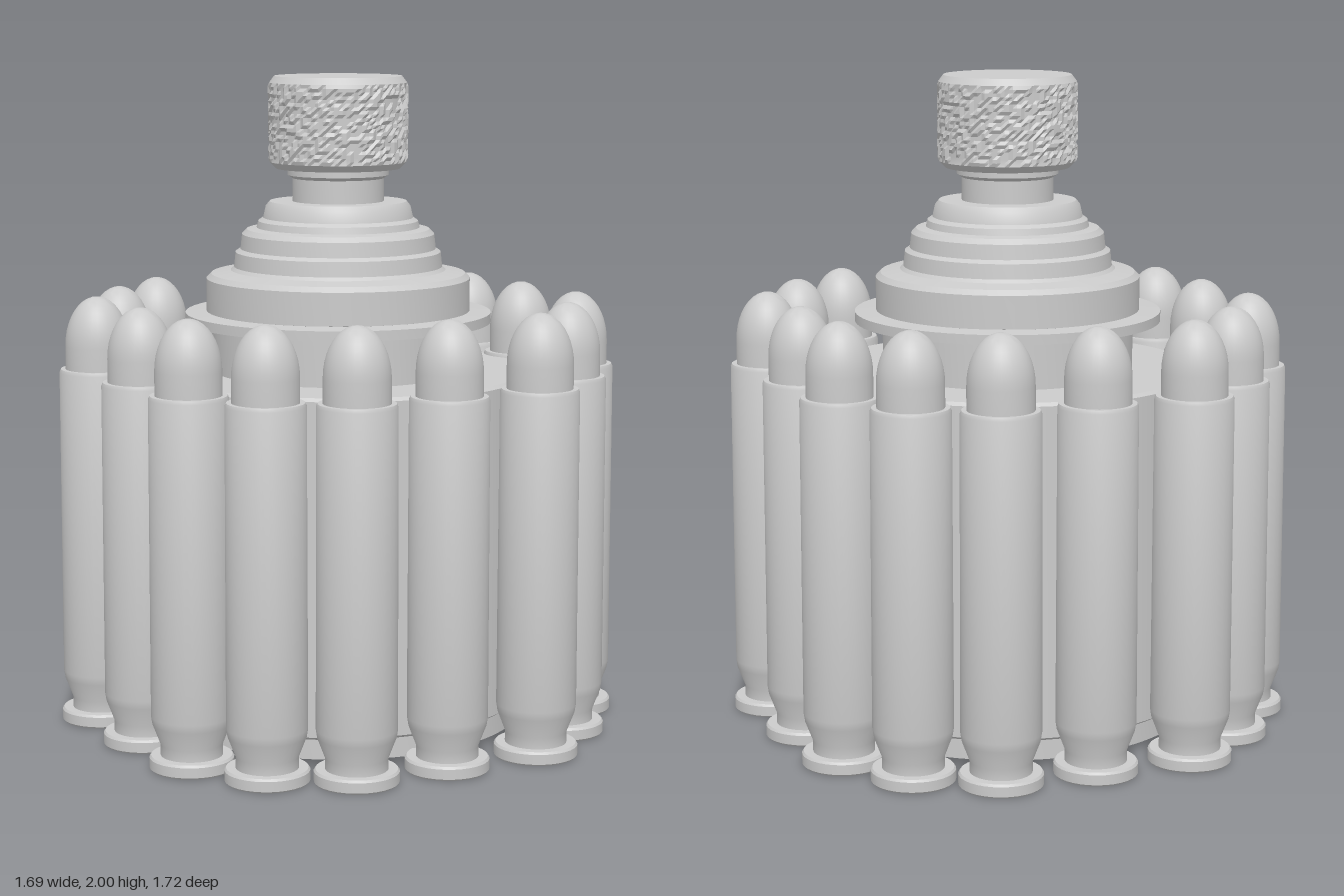
import * as THREE from 'three';
import { toCreasedNormals } from 'three/addons/utils/BufferGeometryUtils.js';

const material = new THREE.MeshStandardMaterial({ color: 0xcccccc });

// Turned part from [radius, height] pairs, listed bottom to top
function turned(profile, segments) {
  const points = profile.map(([r, y]) => new THREE.Vector2(r, y));
  return toCreasedNormals(new THREE.LatheGeometry(points, segments), 0.6);
}

function addMesh(parent, name, geometry) {
  const mesh = new THREE.Mesh(geometry, material);
  mesh.name = name;
  parent.add(mesh);
  return mesh;
}

// Repeatable pseudo-random value for the knurl
function noise(i, j) {
  const s = Math.sin(i * 127.1 + j * 311.7) * 43758.5453;
  return s - Math.floor(s);
}

// Knob sleeve with small irregular bumps
function knurledSleeve(radius, height) {
  const cols = 110, rows = 22;
  const geometry = new THREE.CylinderGeometry(radius, radius, height, cols, rows, true);
  const pos = geometry.attributes.position;
  for (let k = 0; k < pos.count; k++) {
    const col = (k % (cols + 1)) % cols;
    const row = Math.floor(k / (cols + 1));
    if (row === 0 || row === rows) continue;
    const s = noise(col, row) > 0.55 ? 1.02 : 0.99;
    pos.setX(k, pos.getX(k) * s);
    pos.setZ(k, pos.getZ(k) * s);
  }
  return toCreasedNormals(geometry, 0.3);
}

export function createModel() {
  const model = new THREE.Group();
  model.name = 'speedloader';

  // Drum, neck and lip
  addMesh(model, 'drum', turned([
    [0, 0.02], [0.57, 0.02], [0.57, 0.08], [0.585, 0.09], [0.585, 1.09], [0.575, 1.1], [0, 1.1],
  ], 96));
  addMesh(model, 'neck', turned([
    [0.385, 1.09], [0.385, 1.25], [0.47, 1.25], [0.47, 1.28], [0.4, 1.285],
  ], 72));

  // Stepped cap and stem
  addMesh(model, 'steppedCap', turned([
    [0.38, 1.28], [0.405, 1.285], [0.405, 1.385], [0.39, 1.4], [0.33, 1.41],
    [0.32, 1.42], [0.315, 1.465], [0.3, 1.475], [0.295, 1.52], [0.28, 1.535],
    [0.25, 1.54], [0.245, 1.56], [0.23, 1.57], [0.222, 1.605], [0.21, 1.62], [0.14, 1.62],
  ], 72));
  addMesh(model, 'stem', turned([
    [0.14, 1.61], [0.14, 1.69], [0.155, 1.7], [0.155, 1.74],
  ], 64));

  // Knurled knob
  const knob = new THREE.Group();
  knob.name = 'knob';
  model.add(knob);
  addMesh(knob, 'knobBottom', turned([[0, 1.72], [0.19, 1.72], [0.21, 1.74]], 110));
  addMesh(knob, 'knobSleeve', knurledSleeve(0.21, 0.24)).position.y = 1.86;
  addMesh(knob, 'knobTop', turned([[0.21, 1.98], [0.195, 2], [0, 2]], 110));

  // Cartridge: case with rim and groove, then rounded bullet
  const caseGeometry = turned([
    [0, 0], [0.12, 0], [0.125, 0.005], [0.125, 0.035], [0.12, 0.042],
    [0.092, 0.042], [0.092, 0.075], [0.115, 0.135], [0.119, 0.16],
    [0.117, 1.1], [0.113, 1.11], [0.09, 1.11],
  ], 32);
  const nose = [[0.098, 1.1], [0.098, 1.18]];
  for (let i = 1; i <= 10; i++) {
    const a = (i / 10) * Math.PI / 2;
    nose.push([0.098 * Math.cos(a), 1.18 + 0.152 * Math.sin(a)]);
  }
  nose[nose.length - 1][0] = 0;
  const bulletGeometry = turned(nose, 32);

  // Ring of sixteen cartridges, mirrored from one quarter
  const spots = [[0, 0.735], [0.252, 0.675], [0.472, 0.478], [0.692, 0.265], [0.72, 0]];
  for (const [x, z] of spots) {
    for (const sx of x ? [1, -1] : [1]) {
      for (const sz of z ? [1, -1] : [1]) {
        const cartridge = new THREE.Group();
        cartridge.name = 'cartridge';
        addMesh(cartridge, 'case', caseGeometry);
        addMesh(cartridge, 'bullet', bulletGeometry);
        cartridge.position.set(x * sx, 0, z * sz);
        model.add(cartridge);
      }
    }
  }
  return model;
}
